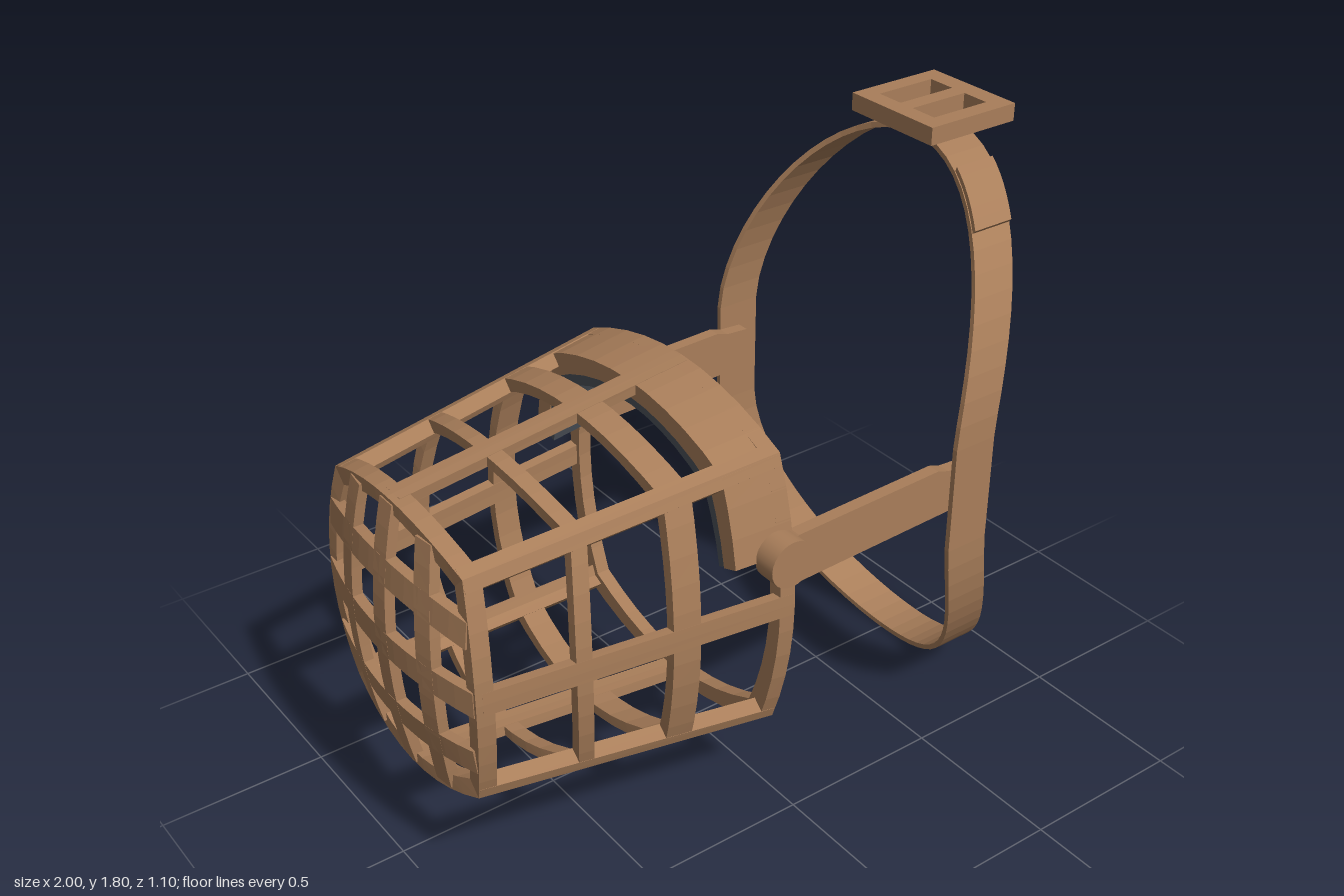
import * as THREE from 'three';

const brown = new THREE.MeshStandardMaterial({ color: 0xa97e5a });
brown.name = 'tan leather';
const grey = new THREE.MeshStandardMaterial({ color: 0x4b5159 });
grey.name = 'dark grey padding';

const CY = 0.735; // height of the basket axis
const lerp = THREE.MathUtils.lerp;

// Solid slab: a box whose unit coordinates are sent through f(u, v, w)
function slab(nu, nv, f) {
  const g = new THREE.BoxGeometry(1, 1, 1, nu, nv, 1).toNonIndexed();
  const p = g.attributes.position;
  for (let i = 0; i < p.count; i++) p.setXYZ(i, ...f(p.getX(i) + 0.5, p.getY(i) + 0.5, p.getZ(i) + 0.5));
  // Signed volume tells whether the map mirrored the box
  let volume = 0;
  const a = new THREE.Vector3(), b = new THREE.Vector3(), c = new THREE.Vector3();
  for (let i = 0; i < p.count; i += 3) {
    a.fromBufferAttribute(p, i); b.fromBufferAttribute(p, i + 1); c.fromBufferAttribute(p, i + 2);
    volume += a.dot(b.clone().cross(c));
    }
  if (volume < 0) {
    for (let i = 0; i < p.count; i += 3) {
      b.fromBufferAttribute(p, i + 1); c.fromBufferAttribute(p, i + 2);
      p.setXYZ(i + 1, c.x, c.y, c.z);
      p.setXYZ(i + 2, b.x, b.y, b.z);
    }
  }
  g.computeVertexNormals();
  return g;
}

// Basket section: four bulged sides, tapering along x; s runs 0..4 around it
function basketPoint(s, x, inset) {
  const t = (x + 0.94) / 0.91;
  const W = lerp(0.385, 0.512, t) - inset, H = lerp(0.427, 0.535, t) - inset;
  const cz = lerp(0.325, 0.43, t) - inset, cy = lerp(0.345, 0.435, t) - inset;
  const k = Math.floor(s), a = 2 * (s - k) - 1;
  const top = H - (H - cy) * a * a, side = W - (W - cz) * a * a;
  const [z, y] = [[cz * a, top], [side, -cy * a], [-cz * a, -top], [-side, cy * a]][((k % 4) + 4) % 4];
  return [x, CY + y, z];
}

const bulge = s => 1 - (2 * (s - Math.floor(s)) - 1) ** 2;

// Band around the basket between two x values, bowed forward at the side middles
function band(x0, x1, s0, s1, inset, thick, bow = 0) {
  return slab(Math.round((s1 - s0) * 10), 1, (u, v, w) => {
    const s = lerp(s0, s1, u);
    return basketPoint(s, lerp(x0, x1, v) - bow * bulge(s), inset + w * thick);
  });
}

export function createModel() {
  const model = new THREE.Group();
  const add = (name, geometry, material = brown, parent = model) => {
    const m = new THREE.Mesh(geometry, material);
    m.name = name;
    parent.add(m);
    return m;
  };

  // Basket rings, rim and padded brow band
  const basket = new THREE.Group();
  basket.name = 'basket';
  model.add(basket);
  add('noseRing', band(-0.925, -0.875, 0, 4, 0, 0.04, 0.02), brown, basket);
  add('middleRing', band(-0.635, -0.59, 0, 4, 0, 0.03, 0.035), brown, basket);
  add('cheekRing', band(-0.375, -0.295, 0, 4, 0, 0.03, 0.018), brown, basket);
  add('openRim', band(-0.075, -0.03, 0, 4, 0, 0.045), brown, basket);
  add('browBand', band(-0.205, -0.03, -0.31, 1.31, 0, 0.05), brown, basket);
  add('browPadding', band(-0.2, -0.032, -0.31, 1.31, 0.05, 0.028), grey, basket);

  // Eight ribs running along the basket
  for (let i = 0; i < 8; i++) {
    const s = i / 2;
    add('rib', slab(2, 1, (u, v, w) => {
      const x = lerp(-0.925, -0.035, v);
      const half = 0.034 / (2 * lerp(0.33, 0.43, v));
      return basketPoint(s + (2 * u - 1) * half, x, w * 0.032);
    }), brown, basket);
  }

  // Domed lattice over the nose end
  const domeX = (y, z) => -1 + 0.055 * ((z / 0.385) ** 2 + (y / 0.43) ** 2);
  for (const k of [-1, 0, 1]) {
    const reachZ = 0.375 - 0.06 * (0.21 * k / 0.345) ** 2;
    add('noseCrossBar', slab(12, 1, (u, v, w) => {
      const q = 2 * u - 1, z = q * reachZ;
      const y = k * (0.2 + 0.025 * (1 - q * q)) + (v - 0.5) * 0.078;
      return [domeX(y, z) + w * 0.03, CY + y, z];
    }), brown, basket);
    const reachY = 0.415 - 0.08 * (0.19 * k / 0.325) ** 2;
    add('noseUprightBar', slab(12, 1, (u, v, w) => {
      const q = 2 * u - 1, y = q * reachY;
      const z = k * (0.175 + 0.025 * (1 - q * q)) + (v - 0.5) * 0.062;
      return [domeX(y, z) + w * 0.03, CY + y, z];
    }), brown, basket);
  }

  // Side straps and their round rivets
  const outline = [[-0.09, 0.85], [-0.03, 0.808], [0.5, 0.825], [0.575, 0.83], [0.575, 0.955],
    [0.5, 0.96], [0.46, 0.973], [-0.03, 0.96], [-0.09, 0.93]];
  for (const side of [-1, 1]) {
    const strap = new THREE.ExtrudeGeometry(new THREE.Shape(outline.map(p => new THREE.Vector2(...p))),
      { depth: 0.038, bevelEnabled: false });
    add('sideStrap', strap).position.z = side * 0.5 - 0.019;
    const rivet = add('rivet', new THREE.CylinderGeometry(0.07, 0.07, 0.07, 24));
    rivet.rotation.x = Math.PI / 2;
    rivet.position.set(-0.073, 0.9, side * 0.515);
  }

  // Neck loop: two half ellipses joined by straight sides, leaning back at top and bottom
  const loopPoint = (angle, across, out) => {
    const s = Math.sin(angle), lean = 0.27 * Math.abs(s) ** 1.5;
    return [0.505 + lean + across * 0.14, (s >= 0 ? 1.03 : 0.7) + s * (0.7 + out), Math.cos(angle) * (0.54 + out)];
  };
  for (const [name, start] of [['upperNeckStrap', 0], ['lowerNeckStrap', -Math.PI]]) {
    add(name, slab(32, 1, (u, v, w) => {
      const p = loopPoint(start + u * Math.PI, v, -0.016 * w);
      // keep the end points on their own half
      if (u === 0 || u === 1) p[1] = start === 0 ? 1.03 : 0.7;
      return p;
    }));
  }
  for (const side of [-1, 1]) {
    const g = new THREE.BoxGeometry(0.14, 0.33, 0.016);
    add('neckStrapSide', g).position.set(0.575, 0.865, side * 0.532);
  }
  // Free strap end lying on the loop
  add('strapTail', slab(6, 1, (u, v, w) => loopPoint(lerp(0.86, 1.18, u), lerp(0.02, 0.98, v), 0.014 * w)));
  add('buckleSeat', new THREE.BoxGeometry(0.135, 0.028, 0.21)).position.set(0.843, 1.737, 0);

  // Two-slot buckle plate
  const plate = new THREE.Shape([[0.69, -0.165], [1, -0.165], [1, 0.165], [0.69, 0.165]].map(p => new THREE.Vector2(...p)));
  for (const [a, b] of [[-0.112, -0.025], [0.025, 0.112]]) {
    plate.holes.push(new THREE.Path([[0.745, a], [0.745, b], [0.94, b], [0.94, a]].map(p => new THREE.Vector2(...p))));
  }
  const buckle = add('buckle', new THREE.ExtrudeGeometry(plate, { depth: 0.052, bevelEnabled: false }));
  buckle.rotation.x = -Math.PI / 2;
  buckle.position.y = 1.75;

  return model;
}
